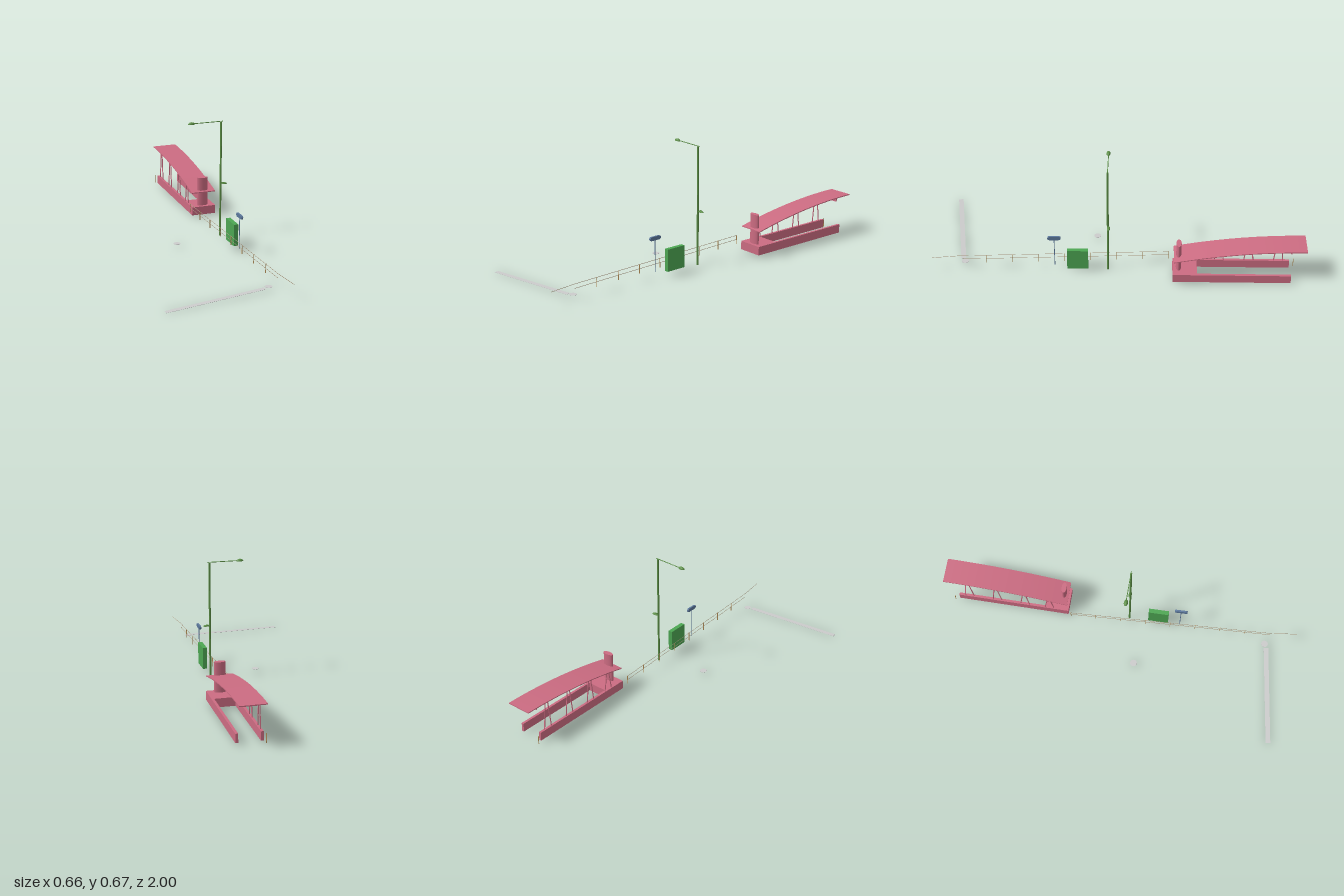
import * as THREE from 'three';

const mat = (color) => new THREE.MeshStandardMaterial({ color, flatShading: true, side: THREE.DoubleSide });
const pink = mat(0xcc6c82), lampGreen = mat(0x5c8f46), boxGreen = mat(0x4ca652);
const blue = mat(0x5c789c), tan = mat(0xb58f58), railMat = mat(0xa89880), grey = mat(0xcccccc);
const V = (x, y, z) => new THREE.Vector3(x, y, z);

function add(parent, name, geometry, material, x = 0, y = 0, z = 0) {
  const mesh = new THREE.Mesh(geometry, material);
  mesh.name = name;
  mesh.position.set(x, y, z);
  parent.add(mesh);
  return mesh;
}

function box(parent, name, material, w, h, d, x, y, z) {
  return add(parent, name, new THREE.BoxGeometry(w, h, d), material, x, y, z);
}

// Round bar between two points
function bar(parent, name, material, a, b, r, sides = 6) {
  const dir = b.clone().sub(a);
  const mid = a.clone().add(b).multiplyScalar(0.5);
  const mesh = add(parent, name, new THREE.CylinderGeometry(r, r, dir.length(), sides), material, mid.x, mid.y, mid.z);
  mesh.quaternion.setFromUnitVectors(V(0, 1, 0), dir.normalize());
  return mesh;
}

// Half ellipsoid with a closed flat underside
function dome(parent, name, rx, ry, rz, x, y, z) {
  const pts = [new THREE.Vector2(0, 0)];
  for (let i = 0; i <= 6; i++) {
    const a = (i / 6) * Math.PI / 2;
    pts.push(new THREE.Vector2(Math.cos(a), Math.sin(a)));
  }
  const mesh = add(parent, name, new THREE.LatheGeometry(pts, 16), lampGreen, x, y, z);
  mesh.scale.set(rx, ry, rz);
}

// Canopied entrance; local z runs from 0 at the front to -0.7 at the back
function buildShelter() {
  const g = new THREE.Group();
  g.name = 'shelter';
  g.position.set(0.257, 0, -0.3);
  g.rotation.y = 0.047;
  const roofY = (s) => 0.224 - 0.08 * (1 - s / 0.7) ** 2;

  // Curved roof slab
  const upper = [], lower = [];
  for (let i = 0; i <= 16; i++) {
    const s = (i / 16) * 0.7;
    upper.push(new THREE.Vector2(s, roofY(s) + 0.002));
    lower.unshift(new THREE.Vector2(s, roofY(s) - 0.003));
  }
  const roof = new THREE.ExtrudeGeometry(new THREE.Shape([...upper, ...lower]), { depth: 0.14, bevelEnabled: false });
  roof.rotateY(Math.PI / 2);
  add(g, 'roof', roof, pink, -0.07, 0, 0);

  // Base block with two side walls
  box(g, 'baseBlock', pink, 0.14, 0.048, 0.13, 0, 0.036, -0.06);
  for (const side of [-1, 1]) {
    box(g, 'sideWall', pink, 0.014, 0.048, 0.5, side * 0.063, 0.036, -0.375);
  }

  // Elliptical column through the roof
  const column = new THREE.CylinderGeometry(1, 1, 0.166, 32);
  const columnMat = pink.clone();
  columnMat.flatShading = false;
  add(g, 'column', column, columnMat, 0.002, 0.142, -0.026).scale.set(0.031, 1, 0.014);

  // Paired leaning struts along one side
  for (const s of [0.105, 0.245, 0.405, 0.565]) {
    for (const k of [-1, 1]) {
      bar(g, 'strut', pink, V(-0.063, 0.058, -s + k * 0.025), V(-0.063, roofY(s) - 0.001, -s + k * 0.008), 0.003);
    }
  }

  // Hanging board at the back
  box(g, 'hangingBoard', pink, 0.09, 0.024, 0.006, 0, 0.203, -0.62);
  return g;
}

function buildStreetLamp() {
  const g = new THREE.Group();
  g.name = 'streetLamp';
  bar(g, 'post', lampGreen, V(0.24, 0.01, 0.053), V(0.24, 0.655, 0.053), 0.0055, 8);
  bar(g, 'arm', lampGreen, V(0.085, 0.659, 0.058), V(0.25, 0.659, 0.052), 0.0022);
  dome(g, 'lampHead', 0.019, 0.012, 0.011, 0.072, 0.656, 0.059);
  // Small lower lamp
  bar(g, 'lowerArm', lampGreen, V(0.24, 0.308, 0.052), V(0.255, 0.308, 0.05), 0.0015);
  box(g, 'lowerBracket', lampGreen, 0.01, 0.009, 0.012, 0.255, 0.309, 0.048);
  dome(g, 'lowerLampHead', 0.019, 0.008, 0.009, 0.26, 0.305, 0.048);
  return g;
}

function buildFence() {
  const g = new THREE.Group();
  g.name = 'fence';
  const start = [0.168, -0.272], bend = [0.277, 0.85], end = [0.303, 0.998];
  const rail = (a, b, y) => bar(g, 'rail', railMat, V(a[0], y, a[1]), V(b[0], y, b[1]), 0.0014, 4);
  rail(start, bend, 0.09);
  rail(bend, end, 0.09);
  rail(start, bend, 0.067);
  for (let i = 0; i < 8; i++) {
    const t = i * 0.125;
    const x = start[0] + (bend[0] - start[0]) * t;
    const z = start[1] + (bend[1] - start[1]) * t;
    box(g, 'fencePost', tan, 0.004, 0.05, 0.002, x + 0.001, 0.066, z);
  }
  // Lone post behind the shelter
  box(g, 'rearPost', tan, 0.003, 0.05, 0.003, 0.15, 0.033, -0.945);
  return g;
}

function buildSign() {
  const g = new THREE.Group();
  g.name = 'sign';
  g.position.set(0.252, 0, 0.34);
  g.rotation.y = 0.07;
  bar(g, 'signPole', blue, V(0, 0.035, 0), V(0, 0.212, 0), 0.002);
  // Pill-shaped panel
  const shape = new THREE.Shape();
  shape.absarc(0.025, 0, 0.0105, -Math.PI / 2, Math.PI / 2, false);
  shape.absarc(-0.025, 0, 0.0105, Math.PI / 2, Math.PI * 1.5, false);
  const panel = new THREE.ExtrudeGeometry(shape, { depth: 0.01, bevelEnabled: false, curveSegments: 8 });
  panel.rotateY(Math.PI / 2);
  add(g, 'signPanel', panel, blue, -0.005, 0.219, 0);
  return g;
}

// Thin sloping path strip and round ground plates
function buildGroundPieces() {
  const g = new THREE.Group();
  g.name = 'groundPieces';
  const a = V(-0.328, 0.002, 0.948), b = V(0.212, 0.018, 0.845);
  const dir = b.clone().sub(a);
  const mid = a.clone().add(b).multiplyScalar(0.5);
  const strip = box(g, 'pathStrip', grey, dir.length(), 0.001, 0.026, mid.x, mid.y, mid.z);
  strip.rotation.set(0, Math.atan2(-dir.z, dir.x), Math.atan2(dir.y, Math.hypot(dir.x, dir.z)));
  for (const [x, y, z] of [[0.235, 0.02, 0.832], [-0.028, 0.018, 0.13]]) {
    add(g, 'groundPlate', new THREE.CylinderGeometry(0.019, 0.019, 0.0015, 24), grey, x, y, z);
  }
  return g;
}

export function createModel() {
  const model = new THREE.Group();
  model.name = 'stationEntrance';
  model.add(buildShelter(), buildStreetLamp(), buildFence(), buildSign(), buildGroundPieces());
  const cabinet = box(model, 'cabinet', boxGreen, 0.024, 0.121, 0.113, 0.254, 0.086, 0.216);
  cabinet.rotation.y = 0.06;
  return model;
}
